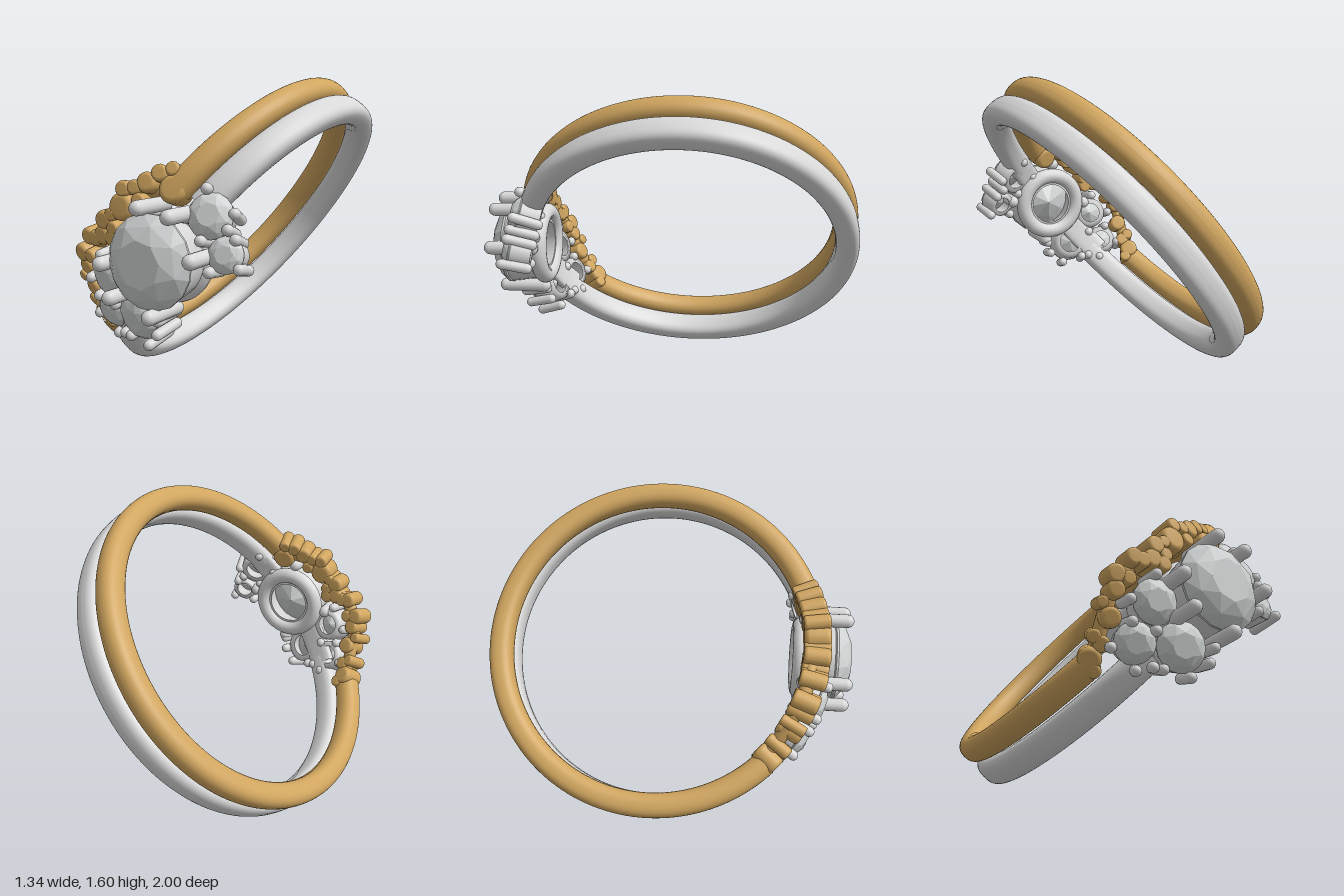
import * as THREE from 'three';
import { ConvexGeometry } from 'three/addons/geometries/ConvexGeometry.js';

const gold = new THREE.MeshStandardMaterial({ color: 0xd0a55f });
gold.name = 'gold';
const silver = new THREE.MeshStandardMaterial({ color: 0xd8d8d8 });
silver.name = 'silver';
const gem = new THREE.MeshStandardMaterial({ color: 0xd0d3d3, flatShading: true });
gem.name = 'gem';

// Ring frame: x = ring axis, y = along the sloping ring plane, z = front
const TILT = -0.667, CENTER = new THREE.Vector3(0.0525, 0.7525, -0.065);
const GOLD_X = -0.152;

function toRing(x, y) {
  const v = new THREE.Vector2(x - CENTER.x, y - CENTER.y);
  return v.rotateAround(new THREE.Vector2(), -TILT);
}

function mesh(name, geometry, material) {
  const m = new THREE.Mesh(geometry, material);
  m.name = name;
  return m;
}

// Band: rounded section swept round the ring axis, from angle p0 to p1 (0 = front)
function band(name, material, x, R, thick, wide, power, p0, p1) {
  const pts = [];
  const soft = (v) => Math.sign(v) * Math.pow(Math.abs(v), power);
  for (let i = 0; i <= 32; i++) {
    const t = (i / 32) * Math.PI * 2;
    pts.push(new THREE.Vector2(R + thick * soft(Math.cos(t)), wide * soft(Math.sin(t))));
  }
  const g = new THREE.LatheGeometry(pts, 128, p0, p1 - p0);
  g.rotateZ(Math.PI / 2);
  const m = mesh(name, g, material);
  m.position.x = x;
  return m;
}

// Stand a part (its y axis outwards) at distance rho from the ring axis
function stand(m, a, phi, rho) {
  m.position.set(a, rho * Math.sin(phi), rho * Math.cos(phi));
  m.rotation.x = Math.PI / 2 - phi;
  return m;
}

// Brilliant cut of unit radius, girdle at y = 0
function gemGeometry(crown, depth) {
  const pts = [];
  const row = (n, r, y, shift) => {
    for (let i = 0; i < n; i++) {
      const t = ((i + shift) / n) * Math.PI * 2;
      pts.push(new THREE.Vector3(r * Math.cos(t), y, r * Math.sin(t)));
    }
  };
  row(16, 1, 0, 0);
  row(16, 1, -0.05, 0);
  row(8, 0.8, crown * 0.62, 0.5);
  row(8, 0.5, crown, 0);
  row(8, 0.5, -depth * 0.6, 0.5);
  pts.push(new THREE.Vector3(0, -depth, 0));
  return new ConvexGeometry(pts);
}

// Tapered open cup that carries a stone
function cupGeometry(r, h) {
  const p = [[0.55, 0], [0.85, 0], [0.98, h], [0.84, h], [0.55, 0]];
  return new THREE.LatheGeometry(p.map(([x, y]) => new THREE.Vector2(x * r, y)), 32);
}

// Peg with softly rounded ends
function pegGeometry(r, h) {
  const pts = [], c = r * 0.4;
  for (const s of [-1, 1]) {
    if (s < 0) pts.push(new THREE.Vector2(0, -h / 2));
    for (let i = 0; i <= 4; i++) {
      const t = ((s < 0 ? i - 4 : i) / 4) * Math.PI / 2;
      pts.push(new THREE.Vector2(r - c + c * Math.cos(t), s * (h / 2 - c) + c * Math.sin(t)));
    }
    if (s > 0) pts.push(new THREE.Vector2(0, h / 2));
  }
  return new THREE.LatheGeometry(pts, 20);
}

function prong(x, y, r, from, to, straight) {
  const p = toRing(x, y);
  const m = mesh('prong', new THREE.CapsuleGeometry(r, to - from - 2 * r, 6, 14), silver);
  const mid = (from + to) / 2;
  if (!straight) return stand(m, p.x, Math.asin(p.y / to), mid);
  m.position.set(p.x, p.y, mid);
  m.rotation.x = Math.PI / 2;
  return m;
}

function createModel() {
  const model = new THREE.Group();
  const ring = new THREE.Group();
  ring.name = 'ringPair';
  ring.position.copy(CENTER);
  ring.rotation.z = TILT;
  model.add(ring);
  const TAU = Math.PI * 2;

  // Bands, open at the front where the settings sit
  ring.add(band('goldBand', gold, GOLD_X, 0.868, 0.066, 0.067, 0.85, 0.33, TAU - 0.77));
  ring.add(band('silverBand', silver, 0, 0.868, 0.064, 0.075, 0.72, 0.36, TAU - 0.5));
  ring.add(band('upperBridge', silver, 0, 0.835, 0.028, 0.07, 0.6, 0.2, 0.4));
  ring.add(band('lowerBridge', silver, -0.02, 0.835, 0.028, 0.08, 0.6, -0.56, -0.2));

  // Gold bead row curving round the stones: x, y, radius
  const beads = [
    [0.11, 1.08, 0.068], [0.10, 1.17, 0.035], [0.04, 1.15, 0.042], [-0.02, 1.105, 0.05],
    [-0.08, 1.08, 0.036], [-0.14, 1.07, 0.04], [-0.055, 1.02, 0.036], [-0.15, 0.985, 0.068],
    [-0.21, 0.945, 0.032], [-0.255, 0.915, 0.048], [-0.20, 0.88, 0.035], [-0.27, 0.84, 0.048],
    [-0.21, 0.83, 0.04], [-0.32, 0.82, 0.04], [-0.365, 0.825, 0.044], [-0.38, 0.72, 0.036],
    [-0.44, 0.73, 0.048], [-0.43, 0.66, 0.044], [-0.48, 0.60, 0.03], [-0.43, 0.54, 0.05],
    [-0.48, 0.46, 0.034], [-0.44, 0.43, 0.04], [-0.47, 0.37, 0.056], [-0.44, 0.325, 0.035],
  ];
  const beadRow = new THREE.Group();
  beadRow.name = 'goldBeadRow';
  for (const [x, y, r] of beads) {
    const p = toRing(x, y);
    beadRow.add(stand(mesh('bead', pegGeometry(r, 0.14), gold), p.x, Math.asin(p.y / 0.93), 0.86));
  }
  // Wire under the beads
  const path = [[0.13, 1.1], [0.0, 1.08], [-0.14, 1.0], [-0.25, 0.88], [-0.37, 0.78], [-0.43, 0.66],
    [-0.45, 0.52], [-0.46, 0.39], [-0.49, 0.3]].map(([x, y]) => {
    const p = toRing(x, y), phi = Math.asin(p.y / 0.93);
    return new THREE.Vector3(p.x, 0.84 * Math.sin(phi), 0.84 * Math.cos(phi));
  });
  beadRow.add(mesh('beadWire', new THREE.TubeGeometry(new THREE.CatmullRomCurve3(path), 60, 0.036, 12), gold));
  ring.add(beadRow);

  // Centre stone, its cup, base ring and prongs
  const centre = new THREE.Group();
  centre.name = 'centreSetting';
  const big = mesh('centreStone', gemGeometry(0.36, 0.75), gem);
  big.scale.setScalar(0.225);
  centre.add(stand(big, 0, 0, 0.983));
  centre.add(stand(mesh('centreCup', cupGeometry(0.222, 0.19), silver), 0, 0, 0.775));
  const base = mesh('baseRing', new THREE.TorusGeometry(0.178, 0.046, 16, 48), silver);
  base.position.z = 0.79;
  centre.add(base);
  for (const [x, y] of [[0.025, 1.0], [0.19, 0.97], [0.30, 0.785], [0.08, 0.51], [-0.14, 0.575], [-0.19, 0.73]])
    centre.add(prong(x, y, 0.036, 0.77, 1.062, true));
  ring.add(centre);

  // Side stones: x, y, radius
  const sides = new THREE.Group();
  sides.name = 'sideSettings';
  const sideGem = gemGeometry(0.38, 0.8);
  for (const [x, y, r] of [[0.31, 0.97, 0.108], [0.40, 0.805, 0.085], [-0.25, 0.63, 0.11],
    [-0.31, 0.44, 0.1], [-0.10, 0.45, 0.122]]) {
    const p = toRing(x, y), phi = Math.asin(p.y / 0.94);
    const stone = mesh('sideStone', sideGem, gem);
    stone.scale.setScalar(r);
    sides.add(stand(stone, p.x, phi, 0.925));
    sides.add(stand(mesh('sideCup', cupGeometry(r, 0.105), silver), p.x, phi, 0.81));
  }
  const tips = [
    [0.29, 1.095], [0.43, 0.99], [0.195, 0.965], [0.41, 0.92], [0.29, 0.865], [0.45, 0.88],
    [0.48, 0.755], [0.34, 0.73], [-0.27, 0.745], [-0.38, 0.61], [-0.24, 0.49], [-0.355, 0.515],
    [-0.42, 0.40], [-0.295, 0.315], [-0.225, 0.335], [-0.18, 0.33], [-0.05, 0.31], [0.03, 0.385],
    [0.05, 0.46],
  ];
  for (const [x, y] of tips) sides.add(prong(x, y, 0.027, 0.79, 0.975, false));
  ring.add(sides);

  return model;
}

export { createModel };
